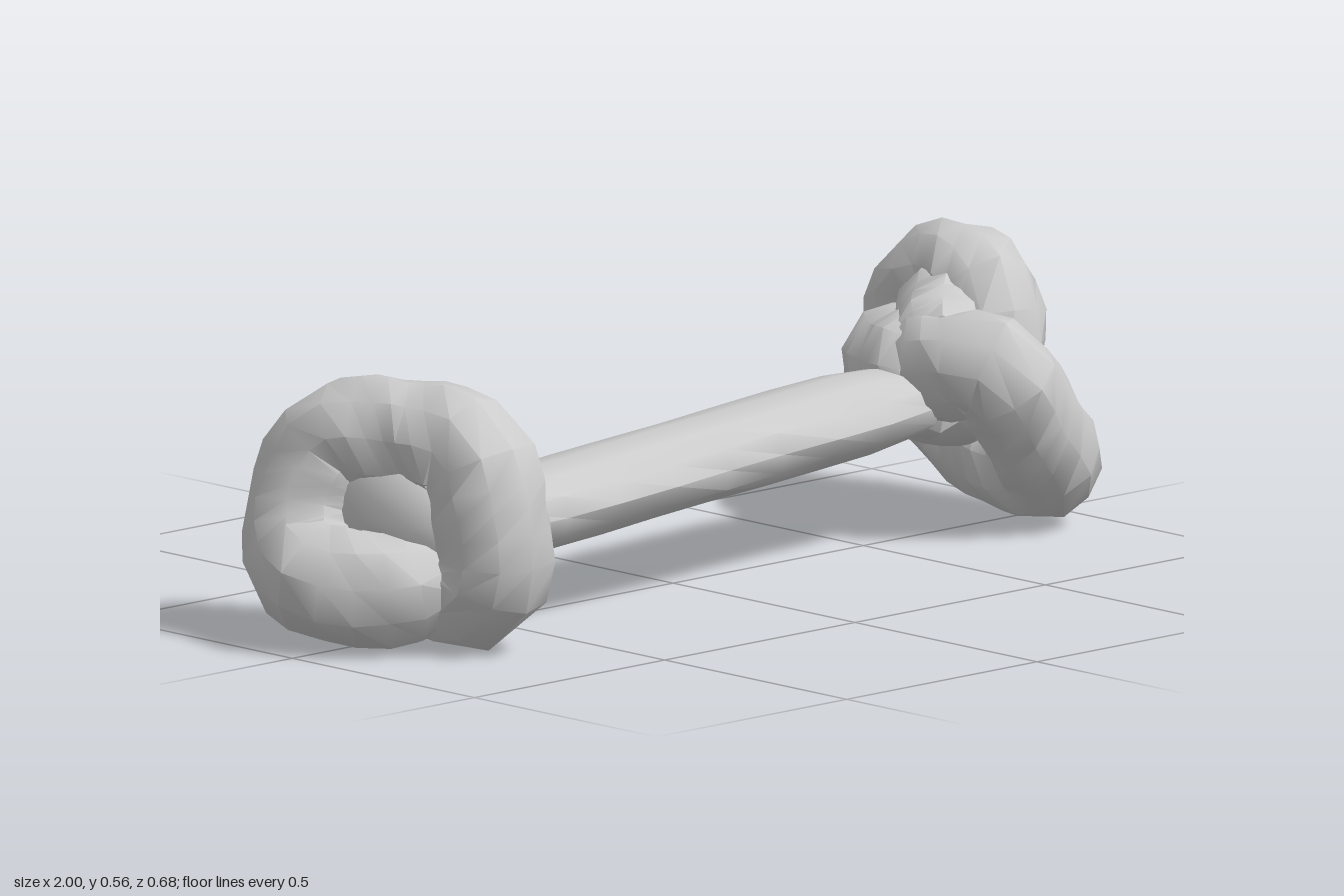
import * as THREE from 'three';
import { toCreasedNormals } from 'three/addons/utils/BufferGeometryUtils.js';

const material = new THREE.MeshStandardMaterial({ color: 0xcccccc });

// Low-poly rope strand along a path, with domed ends and a slightly uneven girth.
function strand(name, points, radius, { segments = 24, sides = 10, flat = 1, uneven = 0.04 } = {}) {
  const curve = new THREE.CatmullRomCurve3(points.map(p => new THREE.Vector3(...p)), false, 'centripetal');
  const geometry = new THREE.TubeGeometry(curve, segments, 1, sides, false);
  const pos = geometry.attributes.position;
  const v = new THREE.Vector3();
  for (let i = 0; i < pos.count; i++) {
    const ring = Math.floor(i / (sides + 1));
    const side = (i % (sides + 1)) % sides;
    const centre = curve.getPointAt(ring / segments);
    const toEnd = Math.min(ring, segments - ring);
    const dome = toEnd === 0 ? 0 : toEnd === 1 ? 0.85 : 1;
    const girth = radius * dome * (1 + uneven * Math.sin(ring * 1.7 + side * 2.3));
    v.fromBufferAttribute(pos, i).sub(centre).multiplyScalar(girth);
    v.y *= flat;
    v.add(centre);
    pos.setXYZ(i, v.x, v.y, v.z);
  }
  geometry.deleteAttribute('uv');
  const mesh = new THREE.Mesh(toCreasedNormals(geometry, 0.7), material);
  mesh.name = name;
  return mesh;
}

// Rope packed inside a knot
function core(position, radii) {
  const mesh = new THREE.Mesh(new THREE.SphereGeometry(1, 10, 8), material);
  mesh.name = 'knotCore';
  mesh.position.set(...position);
  mesh.scale.set(...radii);
  return mesh;
}

export function createModel() {
  const model = new THREE.Group();
  model.name = 'knottedBone';

  // Flattened shaft, leaning slightly up and back towards the +x end
  model.add(strand('shaft', [
    [-0.76, 0.207, 0.087], [-0.3, 0.222, 0.048], [0.2, 0.243, 0.005], [0.78, 0.262, -0.045],
  ], 0.118, { segments: 10, sides: 12, flat: 0.68, uneven: 0.015 }));

  // Knot at the -x end: upright ring around the shaft, then a tail wrapped over the end
  const rightKnot = new THREE.Group();
  rightKnot.name = 'rightKnot';
  rightKnot.add(strand('knotLoop', [
    [-0.8, 0.31, -0.135], [-0.77, 0.2, -0.13], [-0.72, 0.13, -0.07], [-0.69, 0.118, 0.06],
    [-0.685, 0.12, 0.19], [-0.685, 0.17, 0.222], [-0.69, 0.28, 0.213], [-0.695, 0.375, 0.175],
    [-0.715, 0.388, 0.05], [-0.775, 0.375, -0.1], [-0.82, 0.26, -0.145], [-0.86, 0.16, -0.11],
    [-0.885, 0.13, -0.04], [-0.85, 0.118, 0.04], [-0.77, 0.13, 0.1], [-0.71, 0.16, 0.1],
  ], 0.116, { segments: 38 }));
  rightKnot.add(core([-0.74, 0.25, 0.03], [0.11, 0.14, 0.17]));
  model.add(rightKnot);

  // Knot at the +x end: slanting loop whose tail folds over the top into the middle
  const leftKnot = new THREE.Group();
  leftKnot.name = 'leftKnot';
  leftKnot.add(strand('knotLoop', [
    [0.7, 0.3, -0.1], [0.68, 0.325, 0.04], [0.7, 0.335, 0.15], [0.79, 0.22, 0.15],
    [0.875, 0.125, 0.12], [0.895, 0.112, 0.0], [0.895, 0.16, -0.13], [0.87, 0.28, -0.235],
    [0.87, 0.42, -0.21], [0.87, 0.455, -0.12], [0.845, 0.42, -0.02], [0.83, 0.32, 0.0],
    [0.77, 0.25, 0],
  ], 0.104, { segments: 36 }));
  // Strand over the top and strand around the back of the knot
  leftKnot.add(strand('knotTop', [
    [0.67, 0.33, 0.04], [0.76, 0.37, -0.05], [0.87, 0.43, -0.13],
  ], 0.1, { segments: 8 }));
  leftKnot.add(strand('knotBack', [
    [0.67, 0.3, 0.06], [0.69, 0.295, -0.06], [0.76, 0.29, -0.165], [0.85, 0.27, -0.205],
  ], 0.118, { segments: 10 }));
  leftKnot.add(core([0.78, 0.28, -0.08], [0.12, 0.14, 0.18]));
  model.add(leftKnot);

  return model;
}
